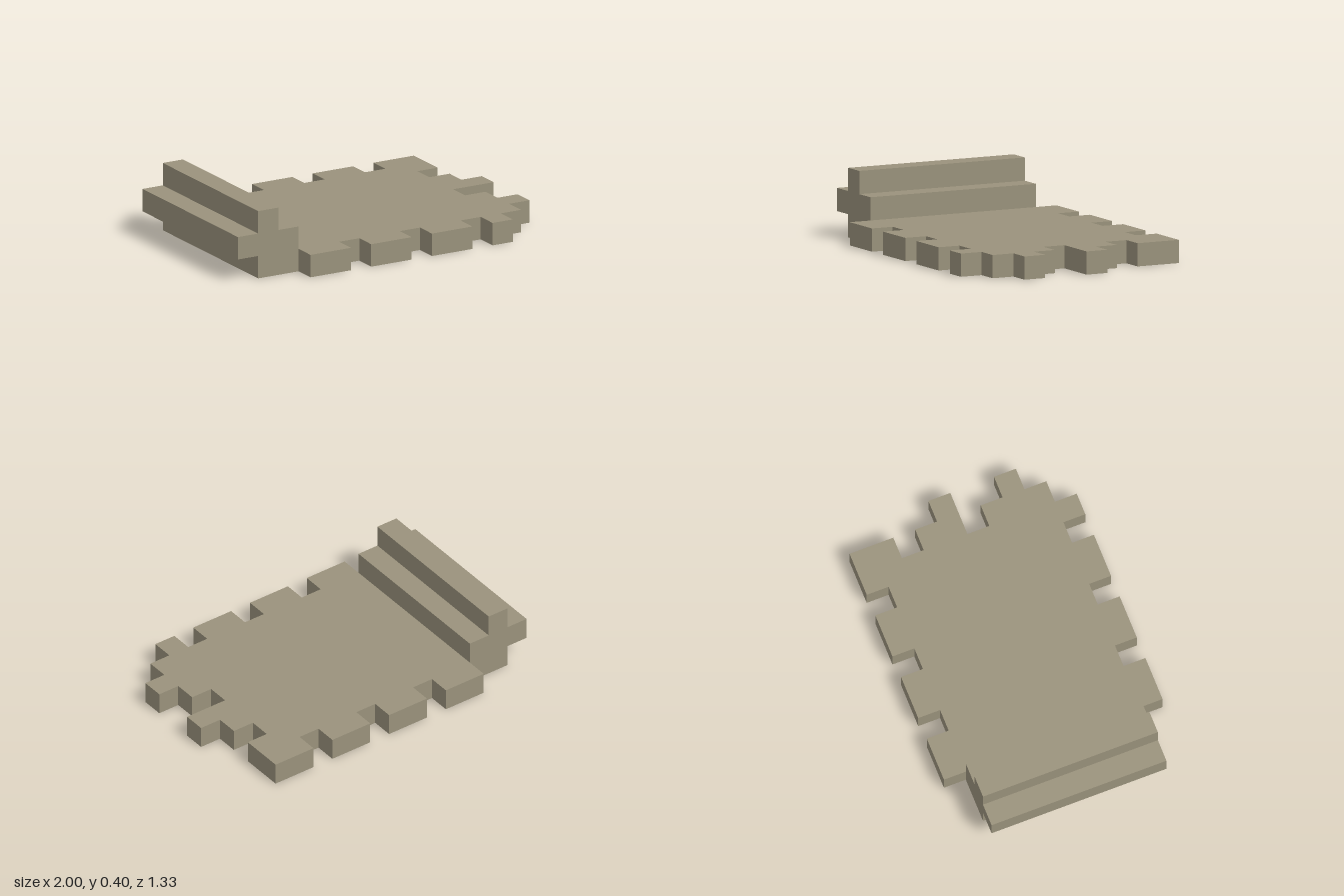
import * as THREE from 'three';

const U = 2 / 15; // grid step: the model is 15 steps long, 10 deep, 3 high

// Extrudes an outline given in grid steps
function extrude(points, depth) {
  const shape = new THREE.Shape(points.map(([a, b]) => new THREE.Vector2(a * U, b * U)));
  return new THREE.ExtrudeGeometry(shape, { depth: depth * U, bevelEnabled: false });
}

export function createModel() {
  const model = new THREE.Group();
  model.name = 'notchedPlateWithRail';
  const stone = new THREE.MeshStandardMaterial({ color: 0x9a927c });
  stone.name = 'stone';

  // Flat plate: outline as [x, depth from the back edge]
  const outline = [];
  // teeth along the back edge
  for (const x of [3, 6, 9]) outline.push([x, 0], [x + 2, 0], [x + 2, 1], [x + 3, 1]);
  outline.push([12, 0]);
  // stepped left edge, row by row from back to front
  const rows = [[14, 0, 2], [13, 2, 3], [14, 3, 4], [15, 4, 5], [13, 5, 6], [14, 6, 7], [15, 7, 8], [14, 8, 9], [13, 9, 10]];
  for (const [x, from, to] of rows) outline.push([x, from], [x, to]);
  // teeth along the front edge
  outline.push([12, 10], [12, 9]);
  for (const x of [9, 6, 3]) {
    outline.push([x + 2, 9], [x + 2, 10], [x, 10]);
    if (x > 3) outline.push([x, 9]);
  }
  const plateGeometry = extrude(outline.map(([x, z]) => [x - 7.5, 5 - z]), 1);
  plateGeometry.rotateX(-Math.PI / 2);
  const plate = new THREE.Mesh(plateGeometry, stone);
  plate.name = 'notchedPlate';
  model.add(plate);

  // Stepped rail across the right end: cross-section as [x, y]
  const profile = [[1, 0], [3, 0], [3, 2], [2, 2], [2, 3], [1, 3], [1, 2], [0, 2], [0, 1], [1, 1]];
  const railGeometry = extrude(profile.map(([x, y]) => [x - 7.5, y]), 8);
  railGeometry.translate(0, 0, -4 * U);
  const rail = new THREE.Mesh(railGeometry, stone);
  rail.name = 'steppedRail';
  model.add(rail);

  return model;
}
